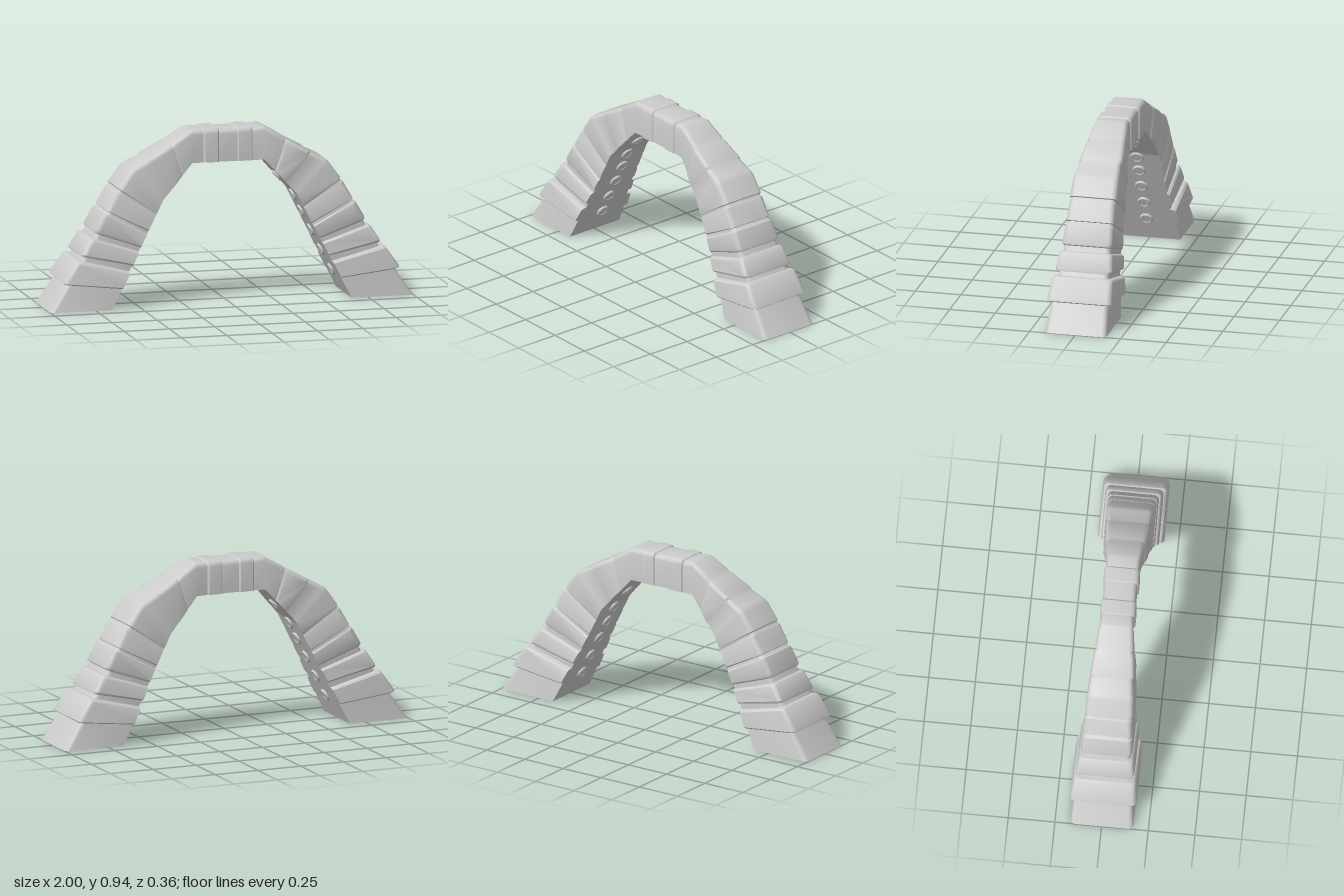
import * as THREE from 'three';
import { toCreasedNormals } from 'three/addons/utils/BufferGeometryUtils.js';

// Underside of one half of the arch: straight leg, then a shallower shoulder
const innerX = y => y <= 0.57 ? 0.66 - 0.509 * y : 0.37 - 0.895 * (y - 0.57);

// Cross-sections from foot to crown: [inner y, outer x, outer y, half depth]
const leg = [
  [0, 1, 0, 0.168], [0.112, 0.902, 0.146, 0.156],
  // first band
  [0.112, 0.916, 0.148, 0.172], [0.118, 0.925, 0.155, 0.178], [0.128, 0.92, 0.168, 0.177],
  [0.19, 0.855, 0.262, 0.167], [0.196, 0.842, 0.27, 0.158], [0.2, 0.822, 0.268, 0.137], [0.23, 0.808, 0.288, 0.137],
  // second band
  [0.232, 0.824, 0.293, 0.15], [0.24, 0.822, 0.305, 0.156], [0.295, 0.775, 0.38, 0.147],
  [0.3, 0.765, 0.386, 0.141], [0.304, 0.75, 0.385, 0.13], [0.325, 0.735, 0.41, 0.13],
  // third band
  [0.327, 0.745, 0.418, 0.134], [0.333, 0.743, 0.43, 0.138], [0.39, 0.695, 0.513, 0.134],
  [0.396, 0.683, 0.518, 0.127], [0.41, 0.674, 0.527, 0.126],
  // fourth band
  [0.416, 0.68, 0.533, 0.131], [0.49, 0.625, 0.627, 0.128], [0.495, 0.615, 0.632, 0.124],
  // elbow block
  [0.503, 0.609, 0.641, 0.124], [0.51, 0.613, 0.648, 0.128], [0.562, 0.549, 0.735, 0.126],
  [0.57, 0.537, 0.746, 0.125], [0.58, 0.522, 0.755, 0.122],
  // shoulder blocks
  [0.63, 0.447, 0.79, 0.115], [0.637, 0.44, 0.8, 0.119], [0.69, 0.328, 0.862, 0.108],
  [0.697, 0.314, 0.868, 0.101], [0.705, 0.3, 0.88, 0.103], [0.76, 0.2, 0.939, 0.093],
].map(([yi, xo, yo, w]) => [innerX(yi), yi, xo, yo, w]);

// Level crown with one raised rib on each side
const crown = [[0.135, 0.935, 0.087], [0.128, 0.941, 0.095], [0.057, 0.941, 0.095], [0.05, 0.935, 0.087]]
  .map(([x, y, w]) => [x, 0.76, x, y, w]);

// Section outline: square inner edges, rounded outer edges
function ring([xi, yi, xo, yo, w]) {
  const d = Math.hypot(xo - xi, yo - yi), r = 0.026, outline = [[0, -w]];
  for (const side of [-1, 1]) {
    for (let k = 0; k <= 3; k++) {
      const a = (side < 0 ? k : 3 - k) * Math.PI / 6;
      outline.push([1 - (r - r * Math.sin(a)) / d, side * (w - r + r * Math.cos(a))]);
    }
  }
  outline.push([0, w]);
  return outline.map(([t, z]) => [xi + (xo - xi) * t, yi + (yo - yi) * t, z]);
}

function archGeometry() {
  const half = [...leg, ...crown];
  const mirrored = half.map(([a, b, c, d, w]) => [-a, b, -c, d, w]).reverse();
  const rings = [...half, ...mirrored].map(ring);
  const n = rings[0].length, index = [];
  for (let i = 0; i < rings.length - 1; i++) {
    for (let j = 0; j < n; j++) {
      const a = i * n + j, b = i * n + (j + 1) % n;
      index.push(a, b + n, b, a, a + n, b + n);
    }
  }
  // flat soles of both feet
  const last = (rings.length - 1) * n;
  for (let j = 1; j < n - 1; j++) index.push(0, j, j + 1, last, last + j + 1, last + j);
  const geo = new THREE.BufferGeometry();
  geo.setAttribute('position', new THREE.Float32BufferAttribute(rings.flat(2), 3));
  geo.setIndex(index);
  return toCreasedNormals(geo, 0.6);
}

export function createModel() {
  const group = new THREE.Group();
  const material = new THREE.MeshStandardMaterial({ color: 0xcccccc });
  const arch = new THREE.Mesh(archGeometry(), material);
  arch.name = 'bandedArch';
  group.add(arch);

  // Round studs along the underside, each facing away from the arch
  const profile = [[0.036, -0.015], [0.036, 0.005], [0.031, 0.011], [0.025, 0.011], [0.022, 0.008], [0, 0.008]]
    .map(p => new THREE.Vector2(...p));
  const studGeo = toCreasedNormals(new THREE.LatheGeometry(profile, 20), 0.6);
  const up = new THREE.Vector3(0, 1, 0);
  const studs = new THREE.Group();
  studs.name = 'undersideStuds';
  const places = [0.13, 0.24, 0.35, 0.455, 0.545].map(y => [innerX(y), y, -0.891, -0.454]);
  places.push([innerX(0.655), 0.655, -0.745, -0.667], [0.092, 0.76, 0, -1]);
  for (const side of [1, -1]) {
    for (const [x, y, nx, ny] of places) {
      const stud = new THREE.Mesh(studGeo, material);
      stud.name = 'stud';
      stud.position.set(side * x, y, 0);
      stud.quaternion.setFromUnitVectors(up, new THREE.Vector3(side * nx, ny, 0).normalize());
      studs.add(stud);
    }
  }
  group.add(studs);
  return group;
}
